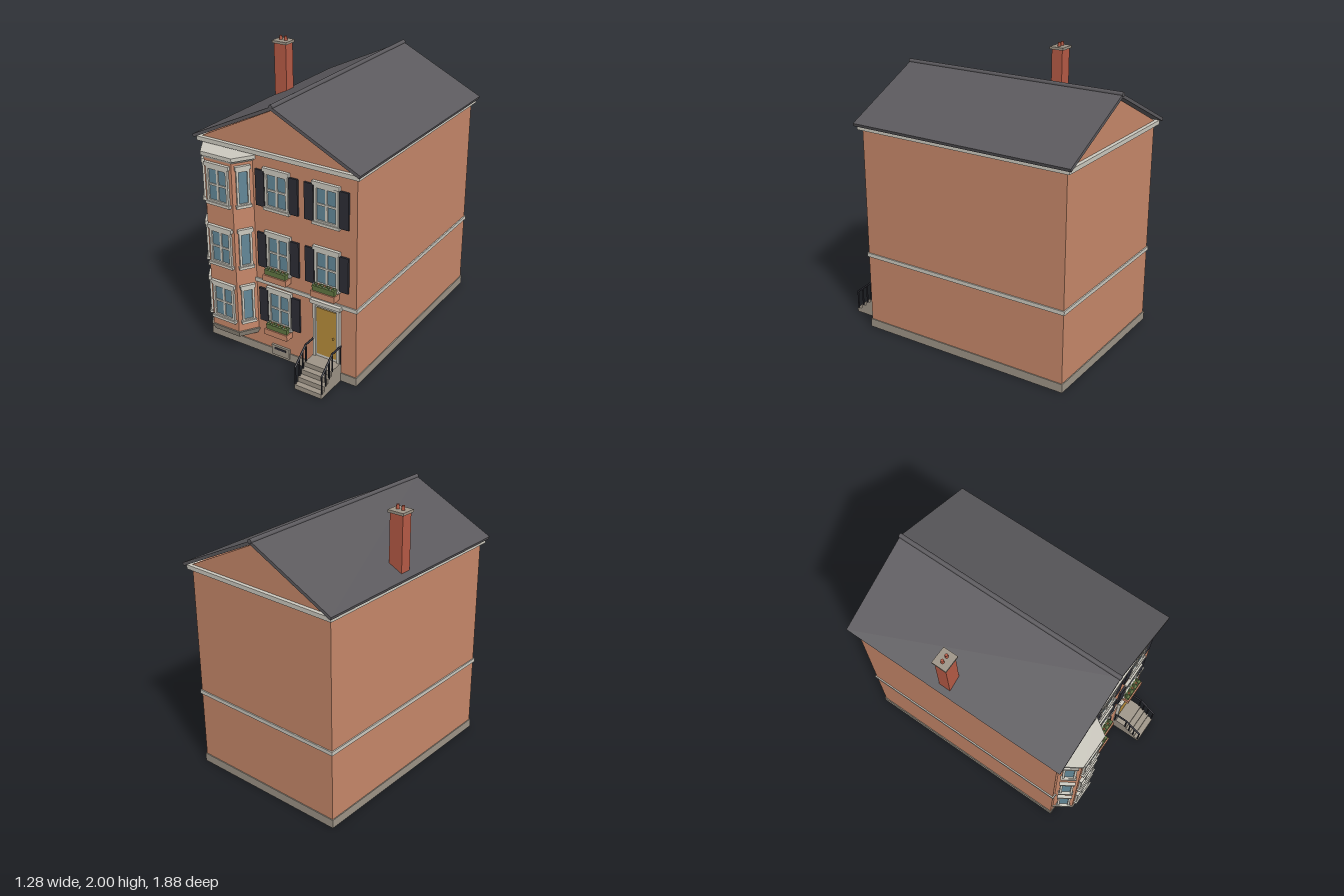
import * as THREE from 'three';

const mat = (name, color, side = THREE.FrontSide) => {
  const m = new THREE.MeshStandardMaterial({ color, side });
  m.name = name;
  return m;
};

export function createModel() {
  const brick = mat('brick', 0xc68769);
  const slate = mat('slate', 0x5b595d);
  const redBrick = mat('red brick', 0xb55a45);
  const stone = mat('stone', 0x9c9386);
  const trim = mat('trim', 0xcbc8be);
  const glass = mat('glass', 0x628797);
  const iron = mat('iron', 0x2c2c34);
  const gold = mat('door gold', 0xb58b3a);
  const leaf = mat('leaf green', 0x5f7440);
  const bloom = mat('blossom', 0xd07a4c);

  const house = new THREE.Group();
  house.name = 'townhouse';
  const MID = -0.096; // z centre of the main block
  const WALL = 0.699; // z of the front wall

  const add = (parent, name, geometry, material) => {
    const mesh = new THREE.Mesh(geometry, material);
    mesh.name = name;
    parent.add(mesh);
    return mesh;
  };
  // Box given by its minimum and maximum corners
  const box = (parent, name, material, x0, x1, y0, y1, z0, z1) => {
    const m = add(parent, name, new THREE.BoxGeometry(x1 - x0, y1 - y0, z1 - z0), material);
    m.position.set((x0 + x1) / 2, (y0 + y1) / 2, (z0 + z1) / 2);
    return m;
  };
  const extrude = (points, depth) => new THREE.ExtrudeGeometry(
    new THREE.Shape(points.map(([x, y]) => new THREE.Vector2(x, y))), { depth, bevelEnabled: false });
  const group = (parent, name, x, y, z) => {
    const g = new THREE.Group();
    g.name = name;
    g.position.set(x, y, z);
    parent.add(g);
    return g;
  };

  // Main block with gables
  const body = add(house, 'walls', extrude(
    [[-0.596, 0.02], [0.596, 0.02], [0.596, 1.53], [0, 1.825], [-0.596, 1.53]], 1.59), brick);
  body.position.z = MID - 0.795;
  const band = (name, material, hx, hz, y0, y1) =>
    box(house, name, material, -hx, hx, y0, y1, MID - hz, MID + hz);
  band('plinth', stone, 0.603, 0.802, 0, 0.062);
  band('stringCourse', trim, 0.605, 0.804, 0.56, 0.588);
  band('cornice', trim, 0.622, 0.822, 1.5, 1.53);

  // Roof and ridge
  const roof = add(house, 'roof', extrude([[0, 1.855], [-0.64, 1.545], [-0.632, 1.524],
    [0, 1.83], [0.632, 1.524], [0.64, 1.545]], 1.68), slate);
  roof.position.z = MID - 0.84;
  const ridge = add(house, 'ridgeCap', new THREE.CylinderGeometry(0.016, 0.016, 1.69, 12), slate);
  ridge.rotation.x = Math.PI / 2;
  ridge.position.set(0, 1.852, MID);

  // Chimney
  box(house, 'chimneyShaft', redBrick, -0.596, -0.495, 1.5, 1.952, -0.212, -0.127);
  box(house, 'chimneyCap', stone, -0.606, -0.484, 1.952, 1.97, -0.223, -0.116);
  for (const x of [-0.566, -0.524]) {
    const pot = add(house, 'chimneyPot', new THREE.CylinderGeometry(0.01, 0.012, 0.032, 12), redBrick);
    pot.position.set(x, 1.984, -0.17);
  }

  // Sash window; origin at bottom centre on the wall plane
  const H = 0.255;
  const addWindow = (parent, x, y, z, w, cross, turn = 0) => {
    const g = group(parent, 'window', x, y, z);
    g.rotation.y = turn;
    const h = w / 2, f = w > 0.12 ? 0.018 : 0.015;
    box(g, 'glass', glass, -h + f, h - f, f, H - f, -0.005, 0.005);
    for (const s of [-1, 1]) {
      const jamb = box(g, 'jamb', trim, -f / 2, f / 2, 0, H, -0.005, 0.016);
      jamb.position.x = s * (h - f / 2);
    }
    box(g, 'bottomRail', trim, -h, h, 0, f, -0.005, 0.016);
    box(g, 'topRail', trim, -h, h, H - f, H, -0.005, 0.016);
    if (cross) {
      box(g, 'mullion', trim, -0.008, 0.008, f, H - f, 0, 0.011);
      box(g, 'meetingRail', trim, -h + f, h - f, H / 2 - 0.007, H / 2 + 0.007, 0, 0.012);
    }
    const e = w > 0.12 ? 0.011 : 0.008;
    box(g, 'lintel', trim, -h - e, h + e, H, H + 0.027, -0.005, 0.022);
    box(g, 'sill', trim, -h - e, h + e, -0.014, 0.006, -0.005, 0.025);
    return g;
  };
  const addShutters = (g) => {
    for (const s of [-1, 1]) {
      const shutter = box(g, 'shutter', iron, -0.034, 0.034, 0, H, -0.005, 0.014);
      shutter.position.x = s * 0.13;
    }
  };
  const addPlanter = (g) => {
    box(g, 'planterBox', brick, -0.092, 0.092, -0.066, -0.022, 0, 0.066);
    box(g, 'planterLeaves', leaf, -0.084, 0.084, -0.022, 0.014, 0.008, 0.056);
    for (let i = 0; i < 7; i++) {
      const x = -0.072 + i * 0.024;
      const tuft = add(g, 'plant', new THREE.IcosahedronGeometry(0.013, 0), leaf);
      tuft.position.set(x, 0.013, i % 2 ? 0.045 : 0.028);
      if (i % 2 === 0) continue;
      const flower = add(g, 'blossom', new THREE.IcosahedronGeometry(0.009, 0), bloom);
      flower.position.set(x, 0.019, 0.034);
    }
  };

  // Front windows by storey
  const floors = [0.267, 0.69, 1.141];
  const DOOR = 0.377;
  floors.forEach((y, i) => {
    for (const x of i === 0 ? [0] : [0, DOOR]) {
      const g = addWindow(house, x, y, WALL, 0.18, true);
      addShutters(g);
      if (i < 2) addPlanter(g);
    }
  });

  // Three-sided bay; k0 and k1 scale the plan at bottom and top
  const bay = group(house, 'bayWindow', -0.38, 0, WALL);
  const bayPrism = (name, material, y0, y1, k0, k1) => {
    const geo = extrude([[-0.19, 0.01], [-0.19, 0], [-0.11, -0.12], [0.11, -0.12], [0.19, 0], [0.19, 0.01]], y1 - y0);
    geo.rotateX(-Math.PI / 2);
    const p = geo.attributes.position;
    for (let i = 0; i < p.count; i++) {
      const k = p.getY(i) < 1e-4 ? k0 : k1;
      p.setXYZ(i, p.getX(i) * k, p.getY(i) + y0, p.getZ(i) * k);
    }
    geo.computeVertexNormals();
    add(bay, name, geo, material);
  };
  bayPrism('bayWalls', brick, 0.18, 1.455, 1, 1);
  bayPrism('bayBase', stone, 0.14, 0.187, 0.95, 1.08);
  bayPrism('bayFrieze', trim, 1.443, 1.46, 1.02, 1.1);
  bayPrism('bayCap', trim, 1.46, 1.486, 1.13, 1.13);
  for (const y of floors) {
    addWindow(bay, 0, y, 0.12, 0.175, true);
    for (const s of [-1, 1]) addWindow(bay, s * 0.15, y, 0.06, 0.09, false, s * Math.atan2(0.12, 0.08));
  }

  // Entrance door
  const door = group(house, 'entrance', DOOR, 0.14, WALL);
  box(door, 'doorSurround', trim, -0.102, 0.102, 0, 0.413, -0.005, 0.012);
  box(door, 'doorLeaf', gold, -0.074, 0.074, 0.022, 0.38, 0.01, 0.017);
  for (const s of [-1, 1]) {
    const post = box(door, 'doorPilaster', trim, -0.009, 0.009, 0, 0.413, 0, 0.022);
    post.position.x = s * 0.093;
  }
  box(door, 'doorHead', trim, -0.102, 0.102, 0.392, 0.413, 0, 0.022);
  box(door, 'doorLintel', trim, -0.116, 0.116, 0.41, 0.437, -0.005, 0.034);
  const knob = add(door, 'doorKnob', new THREE.SphereGeometry(0.007, 10, 8), gold);
  knob.position.set(0.056, 0.18, 0.022);

  // Entrance steps
  const stairs = group(house, 'entranceSteps', DOOR, 0, 0);
  for (let i = 0; i < 4; i++) {
    box(stairs, 'step', stone, -0.105, 0.105, i * 0.035, (i + 1) * 0.035, WALL - 0.005, 0.942 - i * 0.041);
  }

  // Railings, mirrored on each side of the steps
  const bar = (a, b, r) => {
    const d = new THREE.Vector3().subVectors(b, a);
    const m = add(stairs, 'railing', new THREE.CylinderGeometry(r, r, d.length(), 8), iron);
    m.position.copy(a).addScaledVector(d, 0.5);
    m.quaternion.setFromUnitVectors(new THREE.Vector3(0, 1, 0), d.normalize());
  };
  for (const s of [-1, 1]) {
    const at = (y, z) => new THREE.Vector3(s * 0.103, y, z);
    bar(at(0.27, WALL), at(0.27, 0.81), 0.007);
    bar(at(0.27, 0.807), at(0.165, 0.935), 0.007);
    for (const [y0, y1, z] of [[0.03, 0.168, 0.932], [0.068, 0.205, 0.885], [0.1, 0.24, 0.843],
      [0.135, 0.27, 0.805], [0.135, 0.27, 0.71]]) bar(at(y0, z), at(y1, z), 0.006);
  }

  // Basement vent
  box(house, 'basementVent', stone, -0.074, 0.072, 0.02, 0.096, WALL - 0.005, 0.714);
  box(house, 'ventSlot', iron, -0.048, 0.044, 0.066, 0.082, 0.71, 0.717);

  return house;
}
